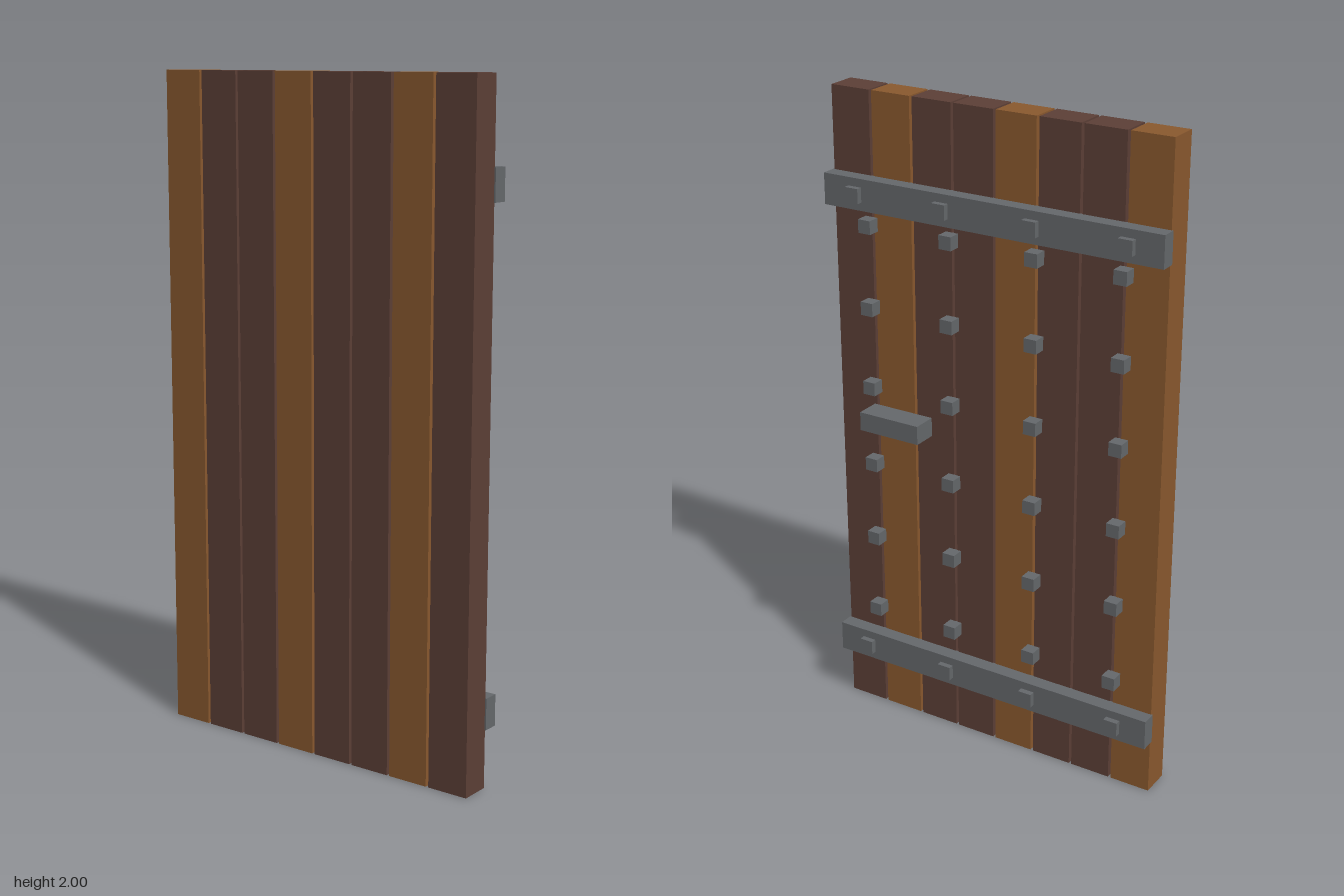
import * as THREE from 'three';

export function createModel() {
  const door = new THREE.Group();
  door.name = 'plankDoor';

  const material = (name, color) => {
    const m = new THREE.MeshStandardMaterial({ color });
    m.name = name;
    return m;
  };
  const darkWood = material('darkWood', 0x5d4037);
  const lightWood = material('lightWood', 0x8b5a2f);
  const iron = material('iron', 0x66696c);

  // Box from its x range, centre (y, z) and size (height, depth)
  const box = (name, mat, x0, x1, y, z, height, depth) => {
    const mesh = new THREE.Mesh(new THREE.BoxGeometry(x1 - x0, height, depth), mat);
    mesh.position.set((x0 + x1) / 2, y, z);
    mesh.name = name;
    door.add(mesh);
  };

  // Upright planks with narrow gaps; every third one is lighter
  for (let i = 0; i < 8; i++) {
    box('plank', i % 3 === 0 ? lightWood : darkWood,
      -0.095, -0.002, 1, (i - 3.5) * 0.1367, 2, 0.128);
  }

  // Iron straps, each with four square nail heads
  for (const y of [0.222, 1.706]) {
    box('strap', iron, -0.004, 0.043, y, 0, 0.094, 1.094);
    for (const z of [-0.44, -0.146, 0.146, 0.44]) {
      box('strapNail', iron, 0.04, 0.061, y, z, 0.044, 0.044);
    }
  }

  // Grid of studs between the straps
  for (let row = 0; row < 6; row++) {
    for (const z of [-0.416, -0.14, 0.14, 0.416]) {
      box('stud', iron, -0.003, 0.037, 0.355 + row * 0.251, z, 0.041, 0.041);
    }
  }

  // Handle bar
  box('handle', iron, 0.015, 0.092, 1.024, 0.309, 0.058, 0.204);

  return door;
}
